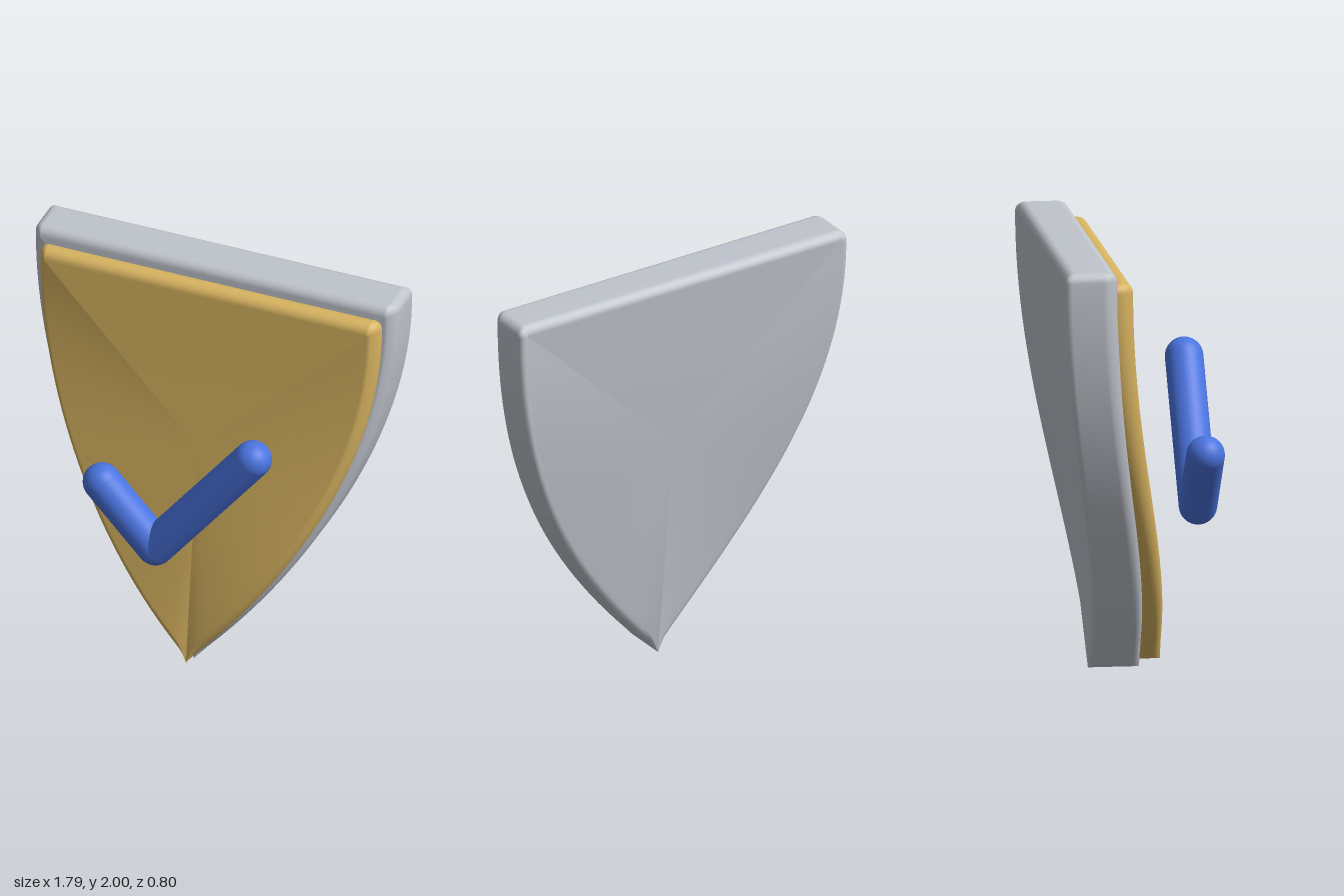
import * as THREE from 'three';

const silver = new THREE.MeshStandardMaterial({ color: 0xc0c4cc });
silver.name = 'silver';
const gold = new THREE.MeshStandardMaterial({ color: 0xd8b461 });
gold.name = 'gold';
const blue = new THREE.MeshStandardMaterial({ color: 0x4a74e0 });
blue.name = 'blue';

// Shield outline, counter-clockwise from the bottom tip back to the bottom tip
function shieldOutline(halfWidth, bottom, top, corner) {
  const h = top - bottom;
  const side = new THREE.QuadraticBezierCurve(
    new THREE.Vector2(0, bottom),
    new THREE.Vector2(halfWidth, bottom + h * 0.47),
    new THREE.Vector2(halfWidth, top - corner)
  ).getPoints(32);
  for (let i = 1; i <= 5; i++) {
    const a = (i / 5) * Math.PI / 2;
    side.push(new THREE.Vector2(
      halfWidth - corner + corner * Math.cos(a),
      top - corner + corner * Math.sin(a)));
  }
  const mirrored = side.map(p => new THREE.Vector2(-p.x, p.y)).reverse();
  return [...side, ...mirrored];
}

// Bevelled plate whose rim curves back with x, with each face rising to a centre point
function shieldPlate({ halfWidth, bottom, top, front, back, bevel, bend, centreY, centreDrop }) {
  const outline = shieldOutline(halfWidth, bottom, top, bevel);
  const n = outline.length;
  const inward = outline.map((p, i) => {
    const a = outline[Math.max(i - 1, 0)], b = outline[Math.min(i + 1, n - 1)];
    return new THREE.Vector2(-(b.y - a.y), b.x - a.x).normalize();
  });

  // Rings run from the front face round the bevels to the back face
  const rings = [];
  const steps = 5;
  for (let k = 0; k <= steps; k++) {
    const a = (k / steps) * Math.PI / 2;
    rings.push([bevel * (1 - Math.sin(a)), front - bevel * (1 - Math.cos(a))]);
  }
  for (let k = 0; k <= steps; k++) {
    const a = (k / steps) * Math.PI / 2;
    rings.push([bevel * (1 - Math.cos(a)), back + bevel * (1 - Math.sin(a))]);
  }

  const pos = [], index = [];
  for (const [inset, z] of rings) {
    outline.forEach((p, j) => {
      const d = Math.min(inset, Math.abs(p.x) * 0.6); // bevel fades out at the tip
      const x = p.x + inward[j].x * d, y = p.y + inward[j].y * d;
      pos.push(x, y, z - bend * x * x);
    });
  }
  const frontCentre = pos.length / 3, backCentre = frontCentre + 1;
  pos.push(0, centreY, front - centreDrop, 0, centreY, back - centreDrop);

  const last = (rings.length - 1) * n;
  for (let j = 0; j < n - 1; j++) {
    index.push(frontCentre, j, j + 1, backCentre, last + j + 1, last + j);
    for (let r = 0; r < rings.length - 1; r++) {
      const a = r * n + j, b = a + n;
      index.push(a, b, b + 1, a, b + 1, a + 1);
    }
  }
  const g = new THREE.BufferGeometry();
  g.setAttribute('position', new THREE.Float32BufferAttribute(pos, 3));
  g.setIndex(index);
  g.computeVertexNormals();
  return g;
}

function addMesh(parent, name, geometry, material) {
  const m = new THREE.Mesh(geometry, material);
  m.name = name;
  parent.add(m);
  return m;
}

export function createModel() {
  const model = new THREE.Group();
  model.name = 'shieldWithCheckMark';

  addMesh(model, 'shieldBack', shieldPlate({
    halfWidth: 0.895, bottom: 0, top: 2, front: 0.06, back: -0.175,
    bevel: 0.045, bend: 0.295, centreY: 1.13, centreDrop: 0.13
  }), silver);

  addMesh(model, 'shieldFace', shieldPlate({
    halfWidth: 0.84, bottom: 0.035, top: 1.935, front: 0.155, back: 0.05,
    bevel: 0.045, bend: 0.36, centreY: 1.13, centreDrop: 0.135
  }), gold);

  // Check mark: two round bars with ball ends and a ball elbow
  const check = new THREE.Group();
  check.name = 'checkMark';
  const radius = 0.088;
  const shortEnd = new THREE.Vector3(-0.345, 1.04, 0.32);
  const elbow = new THREE.Vector3(-0.08, 0.755, 0.32);
  const longEnd = new THREE.Vector3(0.4, 1.355, 0.32);
  const up = new THREE.Vector3(0, 1, 0);
  for (const [name, end] of [['shortBar', shortEnd], ['longBar', longEnd]]) {
    const dir = end.clone().sub(elbow);
    const bar = addMesh(check, name,
      new THREE.CylinderGeometry(radius, radius, dir.length(), 32, 1, true), blue);
    bar.position.copy(elbow).addScaledVector(dir, 0.5);
    bar.quaternion.setFromUnitVectors(up, dir.normalize());
  }
  for (const [name, p] of [['shortBarEnd', shortEnd], ['elbow', elbow], ['longBarEnd', longEnd]]) {
    addMesh(check, name, new THREE.SphereGeometry(radius, 32, 20), blue).position.copy(p);
  }
  model.add(check);

  return model;
}
